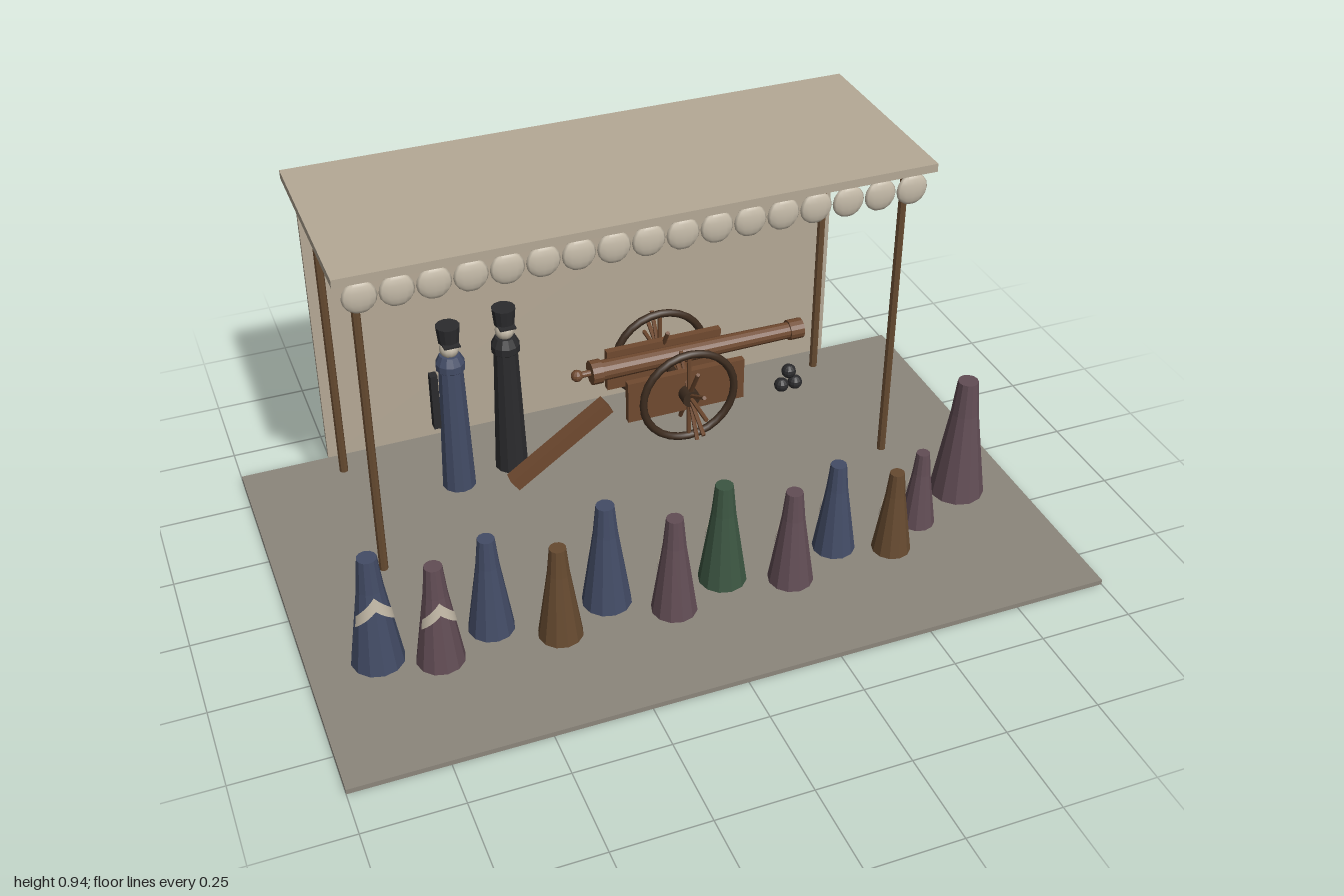
import * as THREE from 'three';
import { ParametricGeometry } from 'three/addons/geometries/ParametricGeometry.js';

const mat = (name, color, extra = {}) => {
  const m = new THREE.MeshStandardMaterial({ color, ...extra });
  m.name = name;
  return m;
};

export function createModel() {
  const M = {
    canvas: mat('canvas', 0xb5a996),
    ground: mat('ground', 0x8c867c),
    cream: mat('cream', 0xc4baa8, { side: THREE.DoubleSide }),
    wood: mat('wood', 0x664a30, { flatShading: true }),
    redWood: mat('redWood', 0x704a30, { flatShading: true }),
    darkWood: mat('darkWood', 0x3d2c1f),
    black: mat('black', 0x2b2b2d, { flatShading: true }),
    blue: mat('blue', 0x434c66, { flatShading: true }),
    mauve: mat('mauve', 0x624d55, { flatShading: true }),
    green: mat('green', 0x3c5642, { flatShading: true }),
  };
  const root = new THREE.Group();
  root.name = 'fieldDisplay';

  const add = (parent, name, geo, material, x = 0, y = 0, z = 0) => {
    const mesh = new THREE.Mesh(geo, material);
    mesh.name = name;
    mesh.position.set(x, y, z);
    parent.add(mesh);
    return mesh;
  };
  const group = (name, x = 0, y = 0, z = 0) => {
    const g = new THREE.Group();
    g.name = name;
    g.position.set(x, y, z);
    root.add(g);
    return g;
  };
  const box = (w, h, d) => new THREE.BoxGeometry(w, h, d);
  const cyl = (rt, rb, h, n = 12) => new THREE.CylinderGeometry(rt, rb, h, n);
  const lathe = (pts, n) => new THREE.LatheGeometry(pts.map(p => new THREE.Vector2(...p)), n);

  const FLOOR = 0.014;
  add(root, 'ground', box(2, FLOOR, 1.25), M.ground, 0, FLOOR / 2, 0);

  // Canopy: roof, back sheet, four posts and a scalloped fringe
  const canopy = group('canopy');
  add(canopy, 'roof', box(1.575, 0.023, 0.575), M.canvas, 0, 0.9315, -0.325);
  add(canopy, 'backSheet', box(1.525, 0.867, 0.013), M.canvas, 0, 0.4865, -0.579);
  for (const x of [-0.727, 0.727])
    for (const z of [-0.098, -0.551])
      add(canopy, 'post', cyl(0.011, 0.012, 0.906, 8), M.wood, x, FLOOR + 0.453, z);
  for (let i = 0; i < 17; i++) {
    const s = add(canopy, 'scallop', new THREE.SphereGeometry(0.044, 12, 8), M.cream,
      (i - 8) * 0.0904, 0.877, -0.05);
    s.scale.z = 0.32;
  }

  // Cannon, pointing along +x
  const cannon = group('cannon', 0, 0, -0.3);
  const along = (name, rt, rb, x0, x1) => {
    const b = add(cannon, name, cyl(rt, rb, x1 - x0, 14), M.redWood, (x0 + x1) / 2, 0.343, 0);
    b.rotation.z = -Math.PI / 2;
  };
  along('barrel', 0.023, 0.029, -0.06, 0.54);
  along('breechRing', 0.034, 0.034, -0.075, -0.045);
  along('muzzleRing', 0.029, 0.029, 0.512, 0.553);
  along('breechNeck', 0.009, 0.009, -0.115, -0.07);
  add(cannon, 'breechKnob', new THREE.SphereGeometry(0.017, 10, 8), M.redWood, -0.113, 0.343, 0);
  const trail = add(cannon, 'trail', box(0.34, 0.04, 0.04), M.redWood, -0.168, 0.131, 0);
  trail.rotation.z = 0.61;
  const axle = add(cannon, 'axle', cyl(0.013, 0.013, 0.24), M.darkWood, 0.17, 0.278, 0);
  axle.rotation.x = Math.PI / 2;

  for (const side of [-1, 1]) {
    add(cannon, 'cheek', box(0.34, 0.125, 0.02), M.redWood, 0.17, 0.282, side * 0.083);
    const wheel = new THREE.Group();
    wheel.name = 'wheel';
    wheel.position.set(0.17, 0.278, side * 0.11);
    cannon.add(wheel);
    add(wheel, 'rim', new THREE.TorusGeometry(0.133, 0.011, 8, 28), M.darkWood);
    const hub = add(wheel, 'hub', cyl(0.025, 0.025, 0.04), M.darkWood);
    hub.rotation.x = Math.PI / 2;
    // Spokes fan out crosswise to the rim
    for (let i = 0; i < 6; i++) {
      const spoke = add(wheel, 'spoke', cyl(0.006, 0.006, 0.247, 6), M.redWood);
      spoke.rotation.x = i * Math.PI / 6;
    }
  }

  // Stacked cannonballs
  const balls = group('cannonballs', 0.602, 0, -0.462);
  for (const [x, y] of [[-0.022, 0.036], [0.022, 0.036], [0, 0.08]])
    add(balls, 'cannonball', new THREE.SphereGeometry(0.022, 12, 8), M.black, x, y, 0);

  // Two sentries with tall hats
  const sentry = (x, z, coat) => {
    const g = group('sentry', x, 0, z);
    add(g, 'coat', lathe([[0, FLOOR], [0.047, FLOOR], [0.034, 0.395], [0.04, 0.4], [0.04, 0.42],
      [0.028, 0.444], [0, 0.446]], 12), coat);
    add(g, 'head', new THREE.SphereGeometry(0.027, 12, 8), M.cream, 0, 0.462, 0);
    add(g, 'hat', cyl(0.033, 0.028, 0.05), M.black, 0, 0.509, 0);
    add(g, 'visor', box(0.045, 0.005, 0.035), M.black, 0, 0.486, 0.022);
    return g;
  };
  const blueSentry = sentry(-0.44, -0.38, M.blue);
  add(blueSentry, 'arm', box(0.02, 0.17, 0.025), M.black, -0.05, 0.305, 0);
  sentry(-0.277, -0.411, M.black);

  // Row of cloaked onlookers: x, z, base radius, top, colour, facing (1 front, -1 back, 0 no shawl)
  const crowd = [
    [-0.825, 0.23, 0.068, 0.338, 'blue', 1],
    [-0.68, 0.285, 0.062, 0.31, 'mauve', 1],
    [-0.53, 0.22, 0.06, 0.3, 'blue', -1],
    [-0.375, 0.305, 0.058, 0.29, 'wood', -1],
    [-0.225, 0.23, 0.065, 0.322, 'blue', -1],
    [-0.075, 0.32, 0.06, 0.305, 'mauve', -1],
    [0.085, 0.255, 0.064, 0.316, 'green', -1],
    [0.25, 0.32, 0.06, 0.295, 'mauve', -1],
    [0.41, 0.245, 0.057, 0.285, 'blue', -1],
    [0.55, 0.305, 0.052, 0.262, 'wood', -1],
    [0.667, 0.23, 0.048, 0.242, 'mauve', -1],
    [0.835, 0.145, 0.075, 0.376, 'mauve', 0],
  ];
  for (const [x, z, r, top, colour, facing] of crowd) {
    const g = group('onlooker', x, FLOOR, z);
    const h = top - FLOOR;
    add(g, 'cloak', lathe([[0, 0], [r, 0], [0.5 * r, 0.72 * h], [0.37 * r, h], [0, h]], 12), M[colour]);
    if (!facing) continue;
    // Shawl: thin curved band dipping at both sides
    const shawl = new ParametricGeometry((u, v, p) => {
      const a = (u * 2 - 1) * 1.25, dip = Math.abs(u * 2 - 1);
      const t = 0.58 - 0.17 * dip + v * (0.12 - 0.02 * dip);
      const rr = r * (1 - 0.5 * t / 0.72) + 0.003;
      p.set(rr * Math.sin(a), t * h, rr * Math.cos(a));
    }, 12, 2);
    add(g, 'shawl', shawl, M.cream).rotation.y = facing > 0 ? 0 : Math.PI;
  }
  return root;
}
